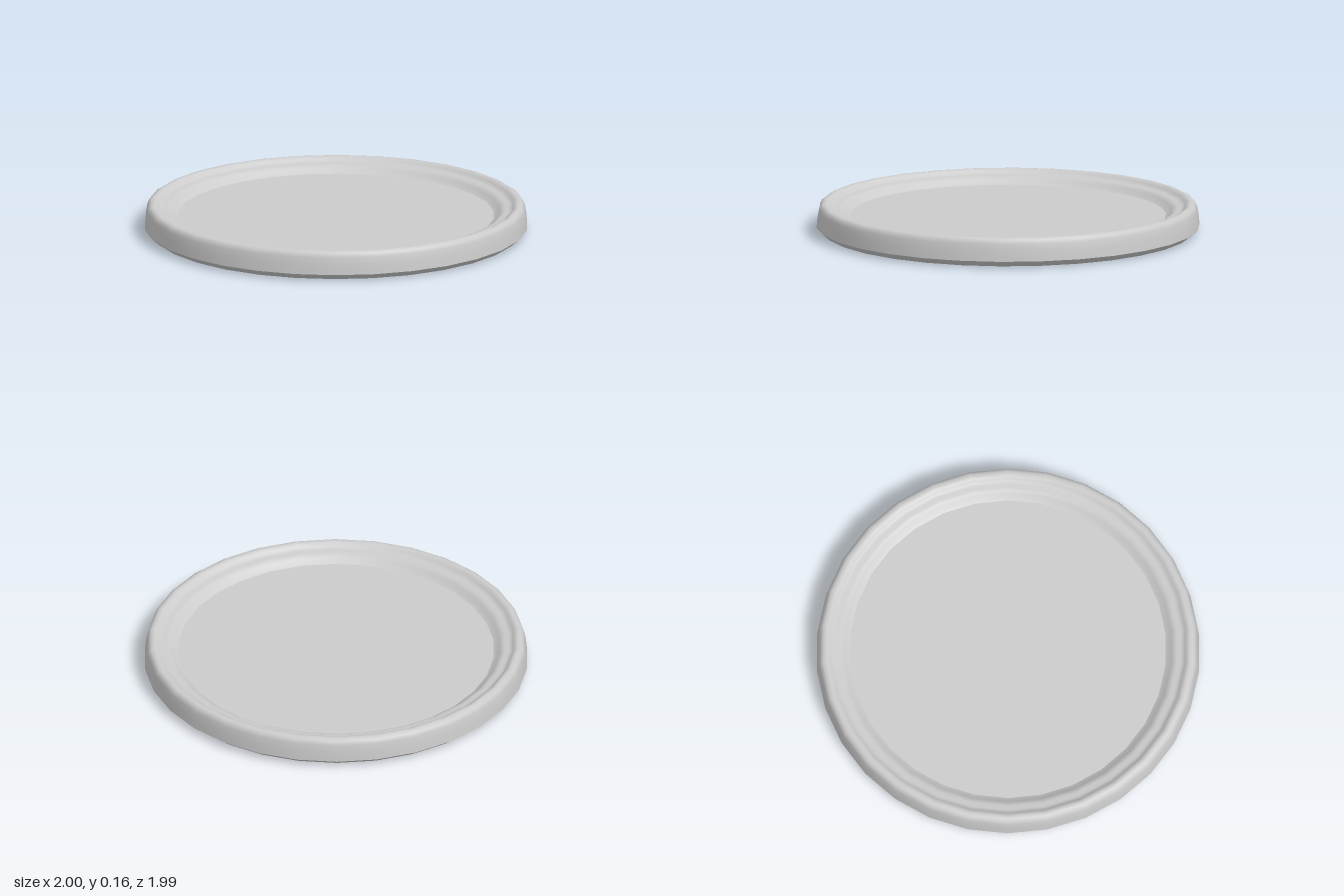
import * as THREE from 'three';

const SIDES = 30;

export function createModel() {
  const group = new THREE.Group();
  const material = new THREE.MeshStandardMaterial({ color: 0xcccccc });

  const add = (name, geometry) => {
    const mesh = new THREE.Mesh(geometry, material);
    mesh.name = name;
    group.add(mesh);
    return mesh;
  };

  // Turned parts share one side count, with a corner on the x axis
  const turn = (name, profile) => add(name, new THREE.LatheGeometry(
    profile.map(([r, y]) => new THREE.Vector2(r, y)), SIDES, Math.PI / 2));

  // Flat underside with a bevelled edge
  turn('base', [[0, 0], [0.93, 0], [0.962, 0.004], [1, 0.035]]);

  // Rounded outer wall and crown, then a stepped lip down to the face
  turn('rim', [
    [1, 0.035], [0.995, 0.085], [0.988, 0.125], [0.98, 0.145], [0.966, 0.154],
    [0.95, 0.156], [0.938, 0.152], [0.928, 0.143], [0.918, 0.134], [0.905, 0.13],
    [0.885, 0.129], [0.87, 0.125], [0.856, 0.115], [0.842, 0.101], [0.825, 0.091],
    [0.815, 0.085],
  ]);

  // Recessed round face
  const face = add('face', new THREE.CircleGeometry(0.826, 64));
  face.rotation.x = -Math.PI / 2;
  face.position.y = 0.091;

  return group;
}
